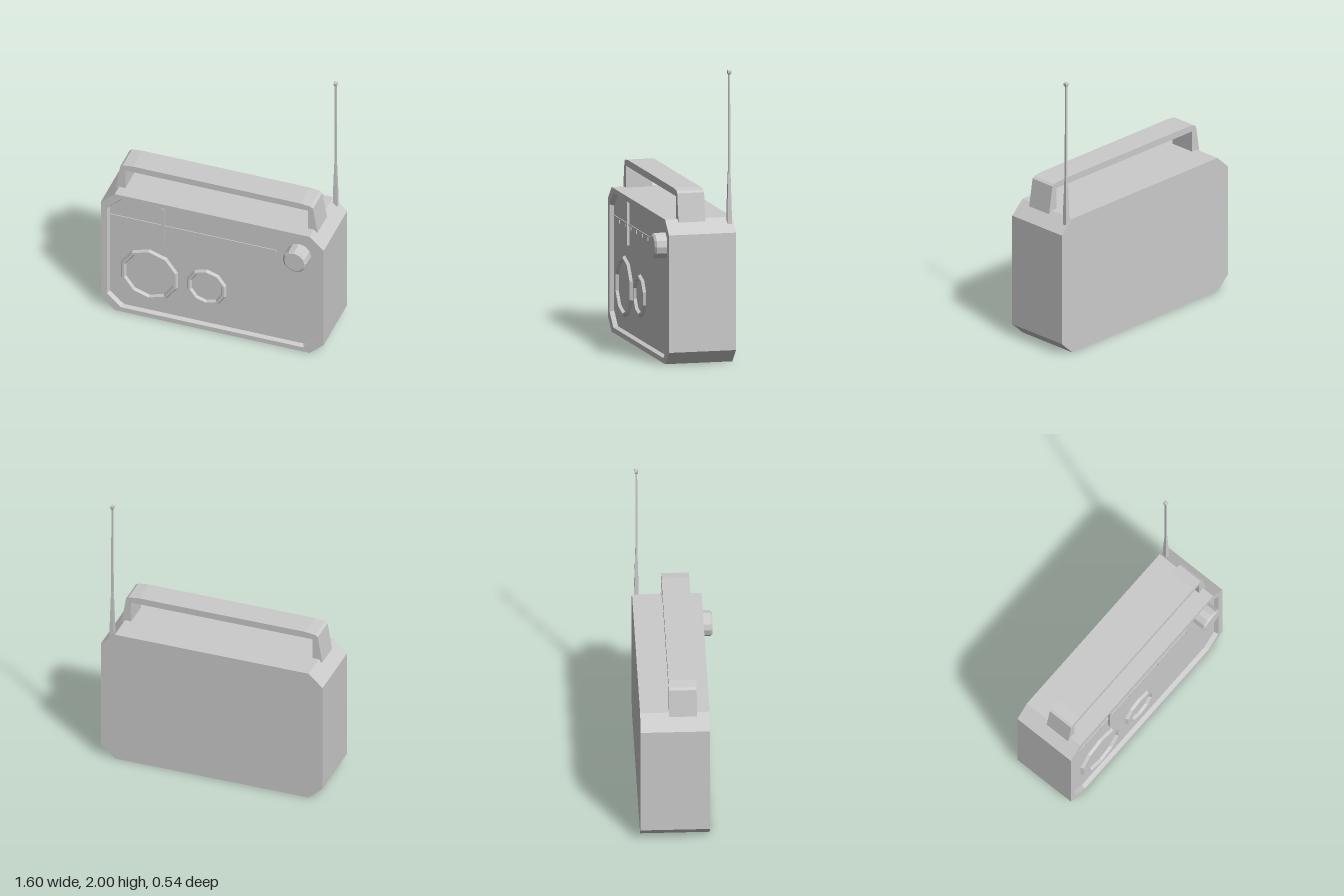
import * as THREE from 'three';

const mat = new THREE.MeshStandardMaterial({ color: 0xcccccc, flatShading: true });
const FLOOR = 0.17; // depth of the recessed front panel

function add(parent, name, geometry, x = 0, y = 0, z = 0) {
  const mesh = new THREE.Mesh(geometry, mat);
  mesh.name = name;
  mesh.position.set(x, y, z);
  parent.add(mesh);
  return mesh;
}

// Rectangle with cut corners, counter-clockwise seen from the front
function octagon(hw, hh, cx, cy, z) {
  return [[hw - cx, -hh], [hw, cy - hh], [hw, hh - cy], [hw - cx, hh],
    [cx - hw, hh], [-hw, hh - cy], [-hw, cy - hh], [cx - hw, -hh]].map(([x, y]) => [x, y, z]);
}

// Skin a row of equal cross-sections and close both ends
function loft(rings) {
  const n = rings[0].length, index = [];
  for (let r = 0; r < rings.length - 1; r++) {
    for (let i = 0; i < n; i++) {
      const a = r * n + i, b = r * n + (i + 1) % n;
      index.push(a, b, b + n, a, b + n, a + n);
    }
  }
  const last = (rings.length - 1) * n;
  for (let i = 1; i < n - 1; i++) {
    index.push(0, i + 1, i, last, last + i, last + i + 1);
  }
  const g = new THREE.BufferGeometry();
  g.setAttribute('position', new THREE.Float32BufferAttribute(rings.flat(2), 3));
  g.setIndex(index);
  g.computeVertexNormals();
  return g;
}

function lathe(profile, sides) {
  return new THREE.LatheGeometry(profile.map(([r, y]) => new THREE.Vector2(r, y)), sides);
}

export function createModel() {
  const radio = new THREE.Group();
  radio.name = 'portableRadio';

  // Case with a sunken front panel
  add(radio, 'case', loft([
    octagon(0.8, 0.495, 0.1, 0.093, -0.27),
    octagon(0.8, 0.495, 0.1, 0.093, 0.2),
    octagon(0.755, 0.46, 0.1, 0.093, 0.2),
    octagon(0.745, 0.45, 0.1, 0.09, FLOOR),
  ]), 0, 0.495, 0);

  // Carrying handle
  const arch = new THREE.Shape([
    [0.725, 0.97], [0.692, 1.165], [0.675, 1.178], [0.6, 1.187],
    [-0.6, 1.187], [-0.675, 1.178], [-0.692, 1.165], [-0.725, 0.97],
    [-0.655, 0.97], [-0.655, 1.14], [0.655, 1.14], [0.655, 0.97],
  ].map(([x, y]) => new THREE.Vector2(x, y)));
  add(radio, 'handle', new THREE.ExtrudeGeometry(arch, { depth: 0.188, bevelEnabled: false }), 0, 0, -0.075);

  // Raised speaker rings
  const ring = (name, r, x) => add(radio, name,
    lathe([[r, -0.005], [r - 0.014, 0.02], [r - 0.03, 0.02], [r - 0.043, -0.005]], 10).rotateX(Math.PI / 2),
    x, 0.347, FLOOR);
  ring('largeSpeakerRing', 0.215, -0.46);
  ring('smallSpeakerRing', 0.152, -0.05);

  // Tuning knob
  add(radio, 'tuningKnob',
    lathe([[0.087, -0.01], [0.087, 0.085], [0.072, 0.098], [0, 0.098]], 12).rotateX(Math.PI / 2),
    0.613, 0.8, FLOOR);

  // Tuning scale: a line with evenly spaced ticks
  const scale = new THREE.Group();
  scale.name = 'tuningScale';
  radio.add(scale);
  add(scale, 'scaleLine', new THREE.BoxGeometry(1.2, 0.01, 0.012), -0.147, 0.787, FLOOR);
  for (let i = 0; i < 8; i++) {
    add(scale, 'scaleTick', new THREE.BoxGeometry(0.008, 0.035, 0.012), -0.6 + i * 0.15, 0.772, FLOOR);
  }
  add(scale, 'needle', new THREE.BoxGeometry(0.022, 0.292, 0.03), -0.36, 0.792, FLOOR);

  // Square telescopic aerial with a small tip
  const w = Math.SQRT2;
  add(radio, 'aerial', lathe([
    [0, 0.945], [0.016 * w, 0.945], [0.014 * w, 1.08], [0.008 * w, 1.3], [0.007 * w, 1.31], [0.006 * w, 1.97],
    [0.012 * w, 1.978], [0.013 * w, 1.992], [0.009 * w, 2], [0, 2],
  ], 4).rotateY(Math.PI / 4), 0.728, 0, -0.24);

  return radio;
}
